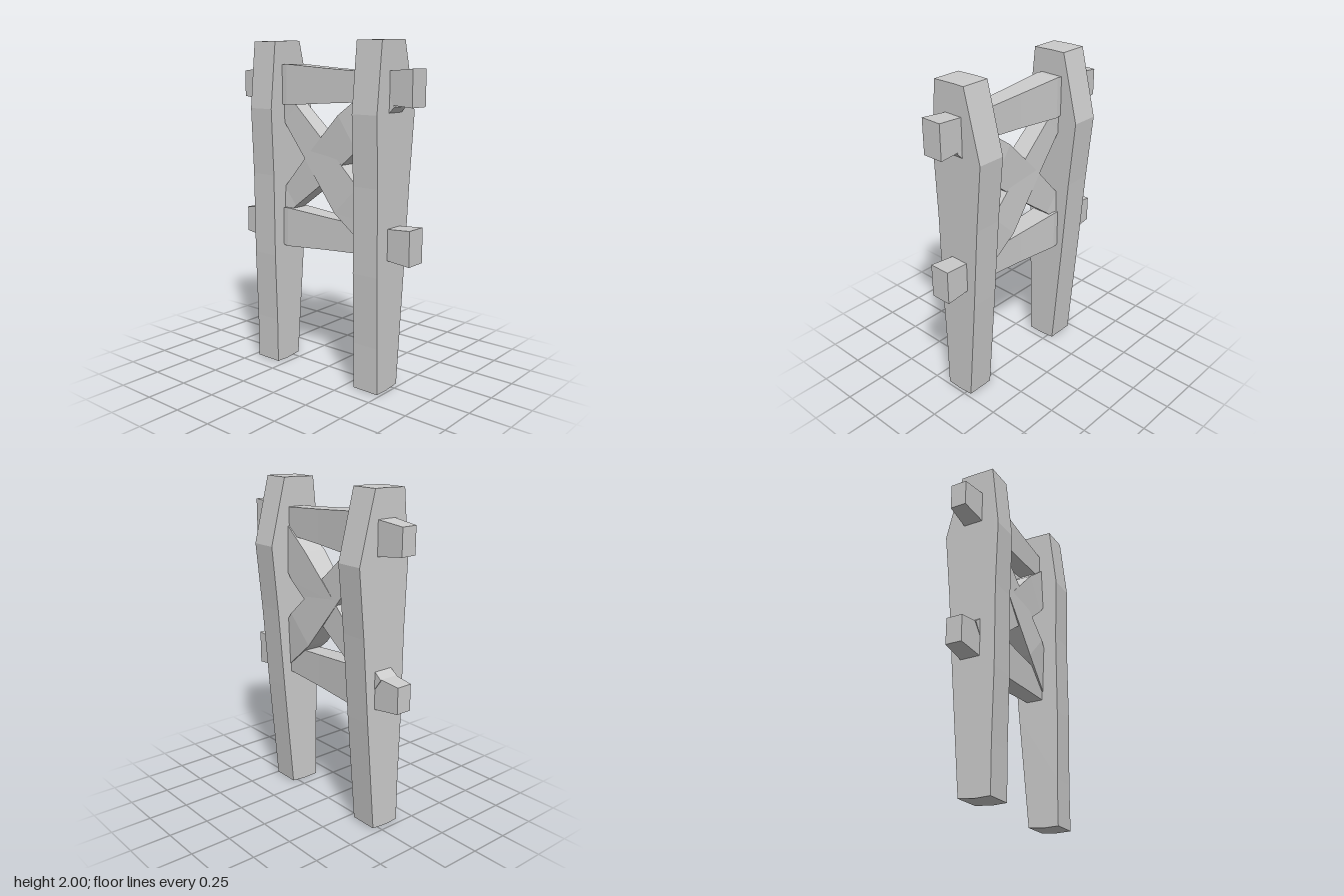
import * as THREE from 'three';

const material = new THREE.MeshStandardMaterial({ color: 0xcccccc, flatShading: true });

// Four-sided beam through sections [upper z, upper y, lower z, lower y, x min, x max], front to back
function beam(name, sections) {
  const rings = sections.map(([zu, yu, zl, yl, x0, x1]) => [
    [x0, yl, zl], [x1, yl, zl], [x1, yu, zu], [x0, yu, zu],
  ]);
  const positions = [];
  const quad = (a, b, c, d) => positions.push(...a, ...b, ...c, ...a, ...c, ...d);
  for (let i = 0; i < rings.length - 1; i++) {
    for (let j = 0; j < 4; j++) {
      const k = (j + 1) % 4;
      quad(rings[i][j], rings[i + 1][j], rings[i + 1][k], rings[i][k]);
    }
  }
  quad(...rings[0]);
  quad(...[...rings[rings.length - 1]].reverse());
  const geometry = new THREE.BufferGeometry();
  geometry.setAttribute('position', new THREE.Float32BufferAttribute(positions, 3));
  geometry.computeVertexNormals();
  const mesh = new THREE.Mesh(geometry, material);
  mesh.name = name;
  return mesh;
}

// Upright plank: tapered outline extruded along z
function post(name, zBack, depth) {
  const outline = [
    [-0.148, 0.003], [0.042, 0.01], [0.1, 0.7], [0.138, 1.2], [0.176, 1.6], [0.073, 2],
    [0.0, 2], [-0.14, 1.995], [-0.18, 1.6], [-0.165, 1.2], [-0.162, 0.7], [-0.15, 0.28],
  ].map(([x, y]) => new THREE.Vector2(x, y));
  outline.splice(1, 0, new THREE.Vector2(-0.06, 0));
  const geometry = new THREE.ExtrudeGeometry(new THREE.Shape(outline), { depth, bevelEnabled: false });
  const mesh = new THREE.Mesh(geometry, material);
  mesh.position.z = zBack;
  mesh.name = name;
  return mesh;
}

// Hand-hewn rail running through both posts: [z, top, bottom, x min, x max] around a height
function rail(name, y) {
  const sections = [
    [0.635, 0.103, -0.102, -0.075, 0.054],
    [0.35, 0.081, -0.081, -0.06, 0.043],
    [0.03, 0.1, -0.1, -0.071, 0.051],
    [-0.26, 0.121, -0.121, -0.084, 0.064],
    [-0.635, 0.078, -0.079, -0.06, 0.038],
  ];
  return beam(name, sections.map(([z, t, b, x0, x1]) => [z, y + t, z, y + b, x0, x1]));
}

export function createModel() {
  const group = new THREE.Group();
  group.name = 'frame';

  group.add(post('frontPost', 0.313, 0.17), post('backPost', -0.466, 0.17));
  group.add(rail('upperRail', 1.742), rail('lowerRail', 0.873));

  // Crossed braces between the posts
  group.add(beam('fallingBrace', [
    [0.42, 1.79, 0.515, 1.64, -0.068, 0.045],
    [0.135, 1.58, 0.27, 1.385, -0.083, 0.063],
    [-0.12, 1.32, 0.0, 1.165, -0.069, 0.05],
    [-0.3, 1.12, -0.21, 1.01, -0.062, 0.045],
    [-0.515, 0.963, -0.42, 0.83, -0.073, 0.053],
  ]));
  group.add(beam('risingBrace', [
    [0.46, 0.97, 0.36, 0.805, -0.065, 0.047],
    [0.28, 1.18, 0.11, 1.01, -0.084, 0.064],
    [0.0, 1.44, -0.13, 1.31, -0.071, 0.051],
    [-0.2, 1.62, -0.3, 1.52, -0.064, 0.046],
    [-0.34, 1.75, -0.43, 1.67, -0.07, 0.05],
  ]));
  return group;
}
